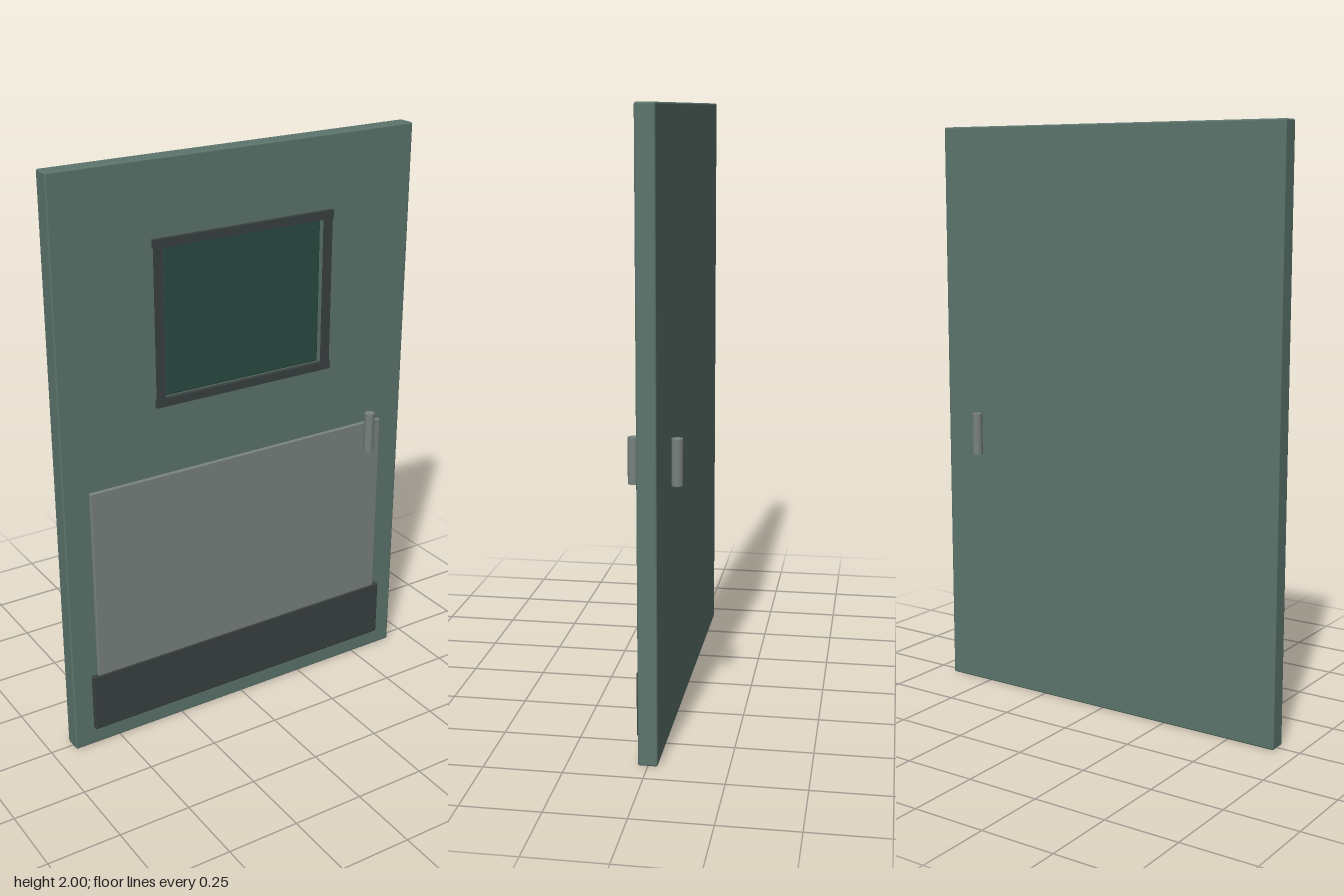
import * as THREE from 'three';
import { RoundedBoxGeometry } from 'three/addons/geometries/RoundedBoxGeometry.js';

export function createModel() {
  const door = new THREE.Group();
  door.name = 'door';
  const mat = (color) => new THREE.MeshStandardMaterial({ color });
  const green = mat(0x5c756d), glass = mat(0x2a4a43), dark = mat(0x3a4040), steel = mat(0x78827f);

  const add = (name, geometry, material, x, y, z, parent = door) => {
    const mesh = new THREE.Mesh(geometry, material);
    mesh.name = name;
    mesh.position.set(x, y, z);
    parent.add(mesh);
  };
  // Softly edged plate given by its limits in y and z, centred on x = 0
  const plate = (name, material, width, y0, y1, z0, z1, radius) =>
    add(name, new RoundedBoxGeometry(width, y1 - y0, z1 - z0, 2, radius),
      material, 0, (y0 + y1) / 2, (z0 + z1) / 2);

  plate('doorSlab', green, 1.34, 0, 2, -0.031, 0.031, 0.006);
  plate('lowerPanel', steel, 1.156, 0.2, 0.956, 0.028, 0.043, 0.004);
  plate('kickPlate', dark, 1.2, 0.065, 0.275, 0.028, 0.047, 0.005);
  plate('windowPane', glass, 0.59, 1.235, 1.728, 0.028, 0.042, 0.004);

  // Window frame: long rails over slightly narrower stiles
  const frame = new THREE.Group();
  frame.name = 'windowFrame';
  door.add(frame);
  const rail = new THREE.BoxGeometry(0.672, 0.028, 0.015);
  const stile = new THREE.BoxGeometry(0.028, 0.55, 0.013);
  for (const s of [-1, 1]) {
    add(s > 0 ? 'topRail' : 'bottomRail', rail, dark, 0, 1.481 + s * 0.262, 0.0525, frame);
    add(s > 0 ? 'leftStile' : 'rightStile', stile, dark, s * 0.318, 1.481, 0.0525, frame);
  }

  // Upright handles on both faces
  const handle = new THREE.CylinderGeometry(0.018, 0.018, 0.147, 20);
  add('frontHandle', handle, steel, 0.51, 0.928, 0.068);
  add('backHandle', handle, steel, 0.51, 0.928, -0.068);

  return door;
}
